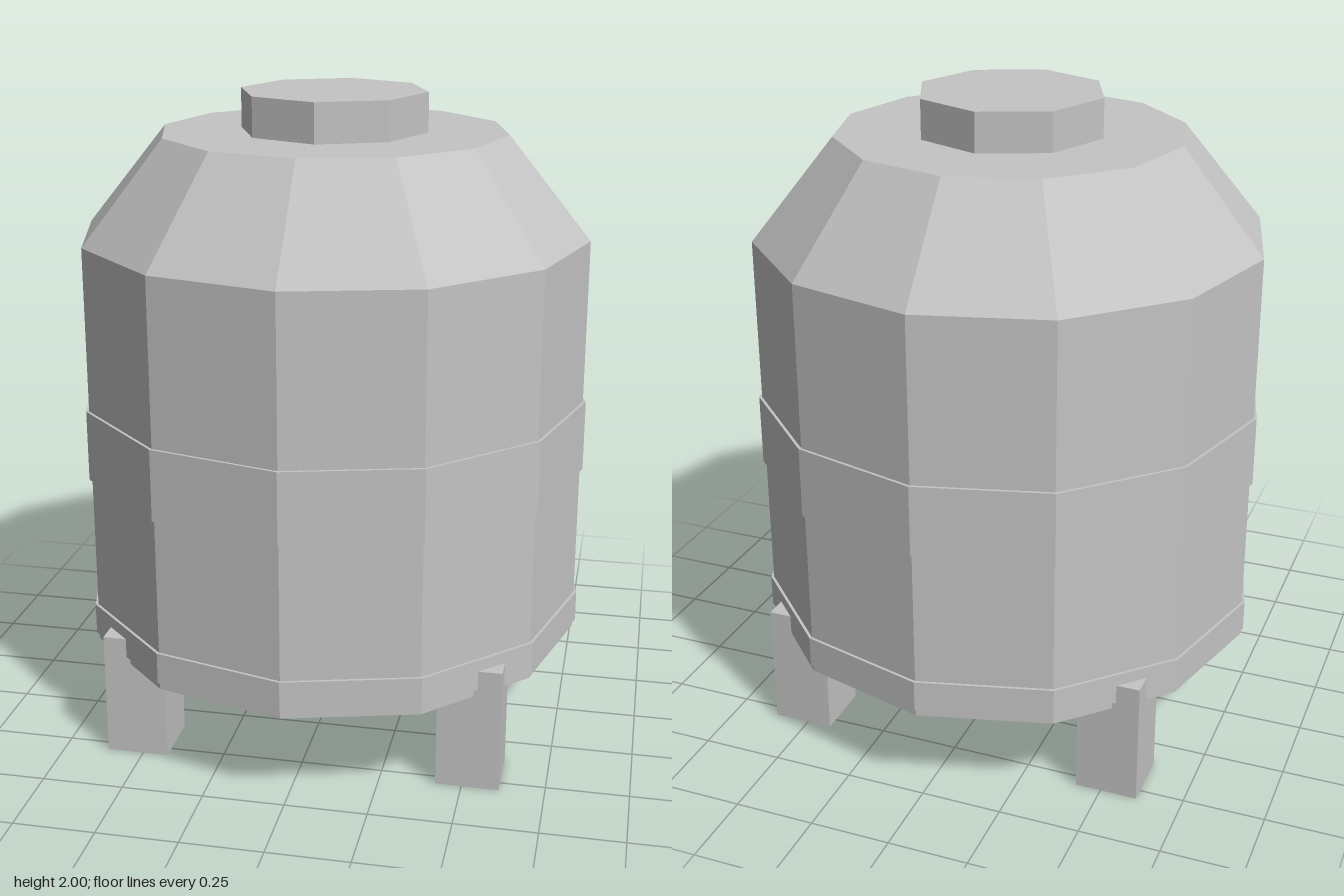
import * as THREE from 'three';

export function createModel() {
  const model = new THREE.Group();
  model.name = 'storageTank';
  const metal = new THREE.MeshStandardMaterial({ color: 0xc4c4c4, flatShading: true });
  metal.name = 'greyMetal';

  const add = (name, geometry, x = 0, y = 0, z = 0) => {
    const mesh = new THREE.Mesh(geometry, metal);
    mesh.name = name;
    mesh.position.set(x, y, z);
    model.add(mesh);
  };
  // Faceted turned part; profile points run from bottom to top
  const turned = (points) =>
    new THREE.LatheGeometry(points.map(([r, y]) => new THREE.Vector2(r, y)), 12);

  // Twelve-sided hull with sloping shoulder and flat ends
  const radius = 0.784;
  add('hull', turned([[0, 0.305], [radius, 0.305], [radius, 1.57], [0.532, 1.88], [0, 1.88]]));

  // Thin raised bands around the hull
  const band = (low, high) =>
    turned([[radius, low], [0.793, low], [0.793, high], [radius, high]]);
  add('middleBand', band(0.845, 1.065));
  add('lowerBand', band(0.328, 0.425));

  // Eight-sided lid on top
  add('lid', new THREE.CylinderGeometry(0.288, 0.288, 0.12, 8), 0, 1.94, 0);

  // Four square legs
  for (const [sx, side] of [[1, 'Left'], [-1, 'Right']]) {
    for (const [sz, end] of [[1, 'front'], [-1, 'back']]) {
      add(`${end}${side}Leg`, new THREE.BoxGeometry(0.192, 0.388, 0.19), sx * 0.517, 0.194, sz * 0.447);
    }
  }
  return model;
}
